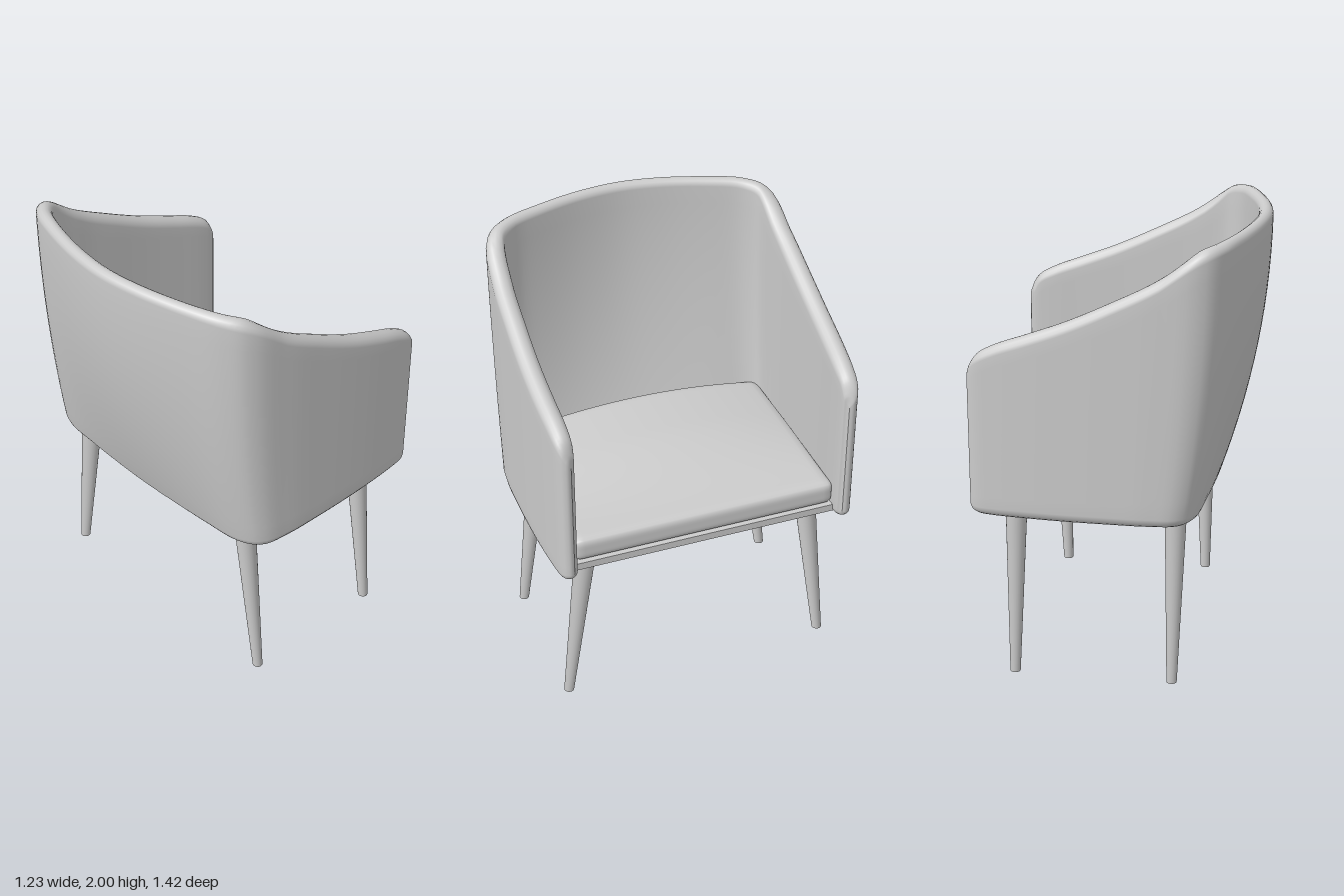
import * as THREE from 'three';
import { mergeVertices } from 'three/addons/utils/BufferGeometryUtils.js';

const material = new THREE.MeshStandardMaterial({ color: 0xcccccc });

function part(name, geometry, parent) {
  const mesh = new THREE.Mesh(geometry, material);
  mesh.name = name;
  parent.add(mesh);
  return mesh;
}

// Closed U-shaped upholstered wall: a rounded upright section swept from arm to arm.
function shellGeometry() {
  // x, z, top height, bottom height, half thickness, backward lean
  const half = [
    [0.607, 0.632, 1.37, 0.81, 0, 0],
    [0.597, 0.638, 1.43, 0.785, 0.026, 0],
    [0.565, 0.647, 1.49, 0.768, 0.038, 0],
    [0.49, 0.652, 1.535, 0.762, 0.043, 0],
    [0.35, 0.66, 1.588, 0.76, 0.045, 0],
    [0.18, 0.665, 1.653, 0.758, 0.045, 0],
    [0, 0.665, 1.737, 0.757, 0.045, 0.01],
    [-0.17, 0.66, 1.845, 0.756, 0.044, 0.2],
    [-0.29, 0.635, 1.965, 0.756, 0.041, 0.43],
    [-0.335, 0.56, 1.985, 0.757, 0.036, 0.56],
    [-0.355, 0.4, 1.992, 0.761, 0.033, 0.76],
    [-0.37, 0.2, 1.998, 0.767, 0.032, 0.93],
  ];
  const mirrored = half.map(([x, z, ...rest]) => [x, -z, ...rest]).reverse();
  const rows = [...half, [-0.376, 0, 2.0, 0.77, 0.032, 1], ...mirrored];
  const path = new THREE.CatmullRomCurve3(rows.map(r => new THREE.Vector3(r[0], r[2], r[1])));
  const data = new THREE.CatmullRomCurve3(rows.map(r => new THREE.Vector3(r[3], r[4], r[5])), false, 'catmullrom', 0.5);

  const steps = (rows.length - 1) * 5, arc = 8, wall = 14;
  const ring = 2 * (arc + wall);
  const positions = [], index = [];
  for (let i = 0; i <= steps; i++) {
    const p = path.getPoint(i / steps), t = path.getTangent(i / steps), d = data.getPoint(i / steps);
    const len = Math.hypot(t.x, t.z), nx = t.z / len, nz = -t.x / len;
    const h = Math.max(d.y, 0), low = d.x + h, high = p.y - h;
    for (let j = 0; j < ring; j++) {
      // outer side up, over the top, inner side down, under the bottom
      const side = j < ring / 2 ? 1 : -1, k = j % (ring / 2);
      let n = side * h, y;
      if (k < wall) {
        const f = k / wall;
        y = side > 0 ? low + (high - low) * f : high + (low - high) * f;
      } else {
        const a = (k - wall) / arc * Math.PI;
        n = side * h * Math.cos(a);
        y = (side > 0 ? high : low) + side * h * Math.sin(a);
      }
      const s = (y - 0.78) / 1.22;
      const lean = s > 0 ? 0.21 * d.z * (2 * s - s * s) : 0;
      positions.push(p.x + nx * n - lean, y, p.z + nz * n);
      if (i < steps) {
        const a = i * ring + j, b = i * ring + (j + 1) % ring;
        index.push(a, b, a + ring, a + ring, b, b + ring);
      }
    }
  }
  const g = new THREE.BufferGeometry();
  g.setAttribute('position', new THREE.Float32BufferAttribute(positions, 3));
  g.setIndex(index);
  g.computeVertexNormals();
  return g;
}

// Soft box with rounded edges and a crowned top that rises away from the front.
function cushionGeometry(w, h, d, r) {
  let g = new THREE.BoxGeometry(w, h, d, 40, 10, 48);
  g.deleteAttribute('uv');
  g.deleteAttribute('normal');
  g = mergeVertices(g);
  const pos = g.attributes.position;
  const v = new THREE.Vector3(), core = new THREE.Vector3();
  const limit = new THREE.Vector3(w / 2 - r, h / 2 - r, d / 2 - r);
  for (let i = 0; i < pos.count; i++) {
    v.fromBufferAttribute(pos, i);
    core.copy(v).clamp(limit.clone().negate(), limit);
    v.sub(core).setLength(r).add(core);
    const rise = THREE.MathUtils.smoothstep(w / 2 - v.x, 0, w * 0.65);
    const crown = 1 - (2 * v.z / d) ** 2;
    v.y += (v.y / h + 0.5) * rise * (0.015 + 0.06 * crown);
    pos.setXYZ(i, v.x, v.y, v.z);
  }
  g.computeVertexNormals();
  return g;
}

// Tapered leg, sheared outward so its foot stays flat on the floor.
function legGeometry(side) {
  const height = 0.79;
  const g = new THREE.CylinderGeometry(0.049, 0.023, height, 24);
  g.translate(0, height / 2, 0);
  const pos = g.attributes.position;
  for (let i = 0; i < pos.count; i++) {
    pos.setZ(i, pos.getZ(i) + side * (0.627 - 0.1 * pos.getY(i) / height));
  }
  return g;
}

export function createModel() {
  const chair = new THREE.Group();
  chair.name = 'armchair';

  part('backAndArms', shellGeometry(), chair);

  part('seatBoard', new THREE.BoxGeometry(0.895, 0.034, 1.24), chair).position.set(0.107, 0.803, 0);
  part('seatCushion', cushionGeometry(0.89, 0.116, 1.23, 0.035), chair).position.set(0.105, 0.878, 0);

  for (const [x, end] of [[0.435, 'front'], [-0.272, 'back']]) {
    for (const side of [1, -1]) {
      part(end + (side > 0 ? 'LegA' : 'LegB'), legGeometry(side), chair).position.x = x;
    }
  }
  return chair;
}
